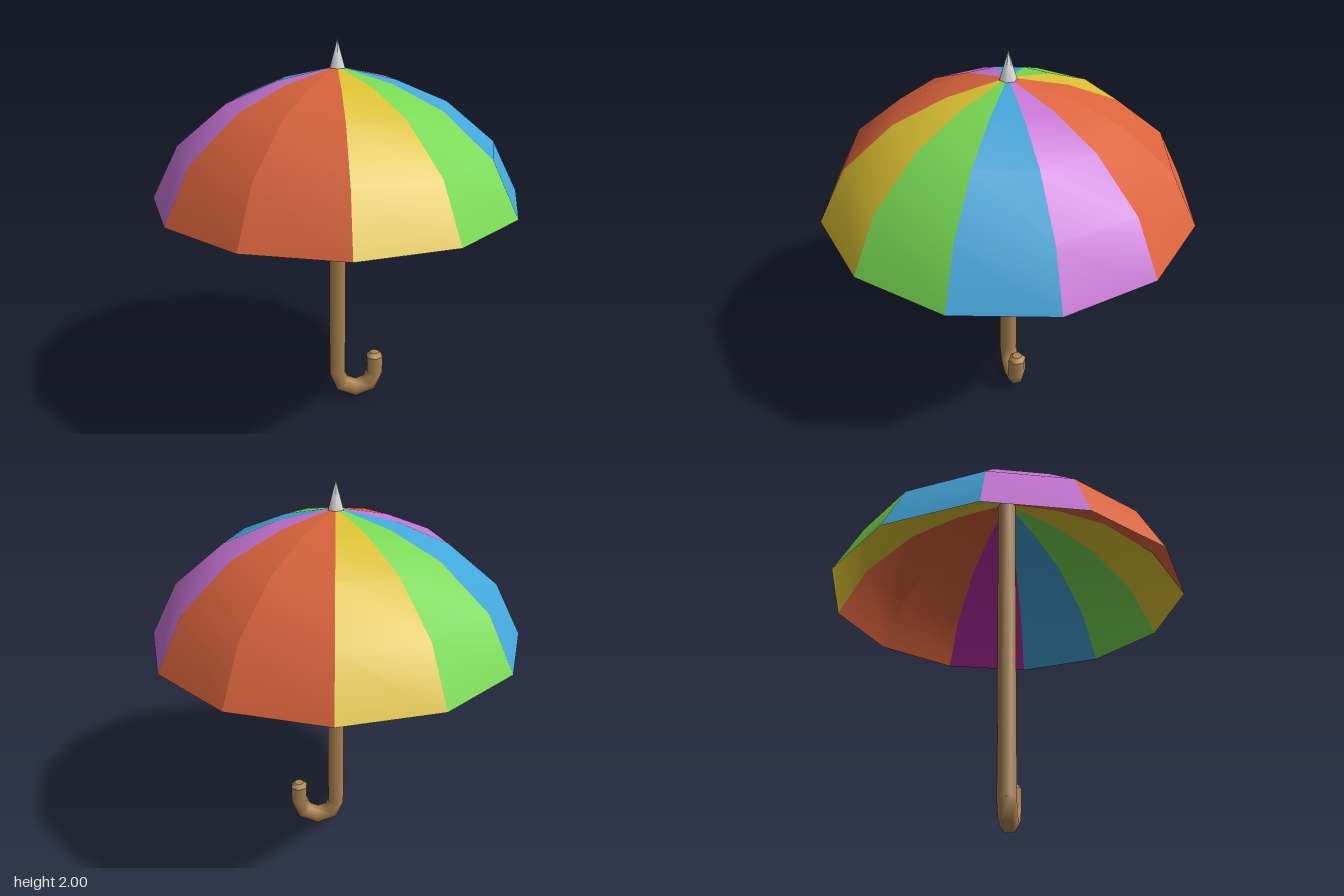
import * as THREE from 'three';

const mat = (name, color) => {
  const m = new THREE.MeshStandardMaterial({ color });
  m.name = name;
  return m;
};

// Half circle for the bend of the handle, starting on the pole axis
class HookCurve extends THREE.Curve {
  getPoint(t, target = new THREE.Vector3()) {
    const a = Math.PI * (1 + t);
    return target.set(0.106 + 0.106 * Math.cos(a), 0.15 + 0.106 * Math.sin(a), 0);
  }
}

export function createModel() {
  const root = new THREE.Group();
  root.name = 'umbrella';

  const yellow = mat('yellow', 0xdec232);
  const green = mat('green', 0x78d852);
  const blue = mat('blue', 0x44a6da);
  const purple = mat('purple', 0xc674d4);
  const orange = mat('orange', 0xdb643c);
  const magenta = mat('magenta lining', 0xbe2ca8);
  const wood = mat('wood', 0xae8550);
  const metal = mat('light metal', 0xdadada);

  const add = (parent, name, geometry, material, x = 0, y = 0, z = 0) => {
    const mesh = new THREE.Mesh(geometry, material);
    mesh.name = name;
    mesh.position.set(x, y, z);
    parent.add(mesh);
    return mesh;
  };

  // Canopy: twelve panels, each with an outer face and a thin lining
  const canopy = new THREE.Group();
  canopy.name = 'canopy';
  root.add(canopy);
  const profile = [[0.95, 1.21], [0.81, 1.48], [0.555, 1.69], [0.295, 1.8], [0.04, 1.86], [0, 1.862]];
  const outer = profile.map(([r, y]) => new THREE.Vector2(r, y));
  const inner = profile.map(([r, y], i) =>
    i === 0 ? new THREE.Vector2(r, y) : new THREE.Vector2(Math.max(0, r - 0.004), y - 0.005)).reverse();
  const step = Math.PI / 6;
  const panel = (points, i) => {
    const g = new THREE.LatheGeometry(points, 1, i * step, step);
    g.computeVertexNormals(); // creased between panels, smooth down each one
    return g;
  };
  const order = [yellow, green, blue, purple, orange, orange];
  for (let i = 0; i < 12; i++) {
    const m = order[i % 6];
    add(canopy, 'canopyPanel', panel(outer, i), m);
    add(canopy, 'canopyLining', panel(inner, i), m === purple ? magenta : m);
  }

  // Metal tip
  add(root, 'tip', new THREE.ConeGeometry(0.045, 0.145, 6), metal, 0, 1.9275);

  // Pole and hooked handle, six-sided
  const r = 0.05;
  add(root, 'pole', new THREE.CylinderGeometry(r, r, 1.7, 6, 1, true), wood, 0, 1.0);
  const handle = new THREE.Group();
  handle.name = 'handle';
  root.add(handle);
  add(handle, 'hookBend', new THREE.TubeGeometry(new HookCurve(), 4, r, 6), wood);
  add(handle, 'hookEnd', new THREE.CylinderGeometry(r, r, 0.095, 6, 1, true), wood, 0.212, 0.1975);
  add(handle, 'hookCap', new THREE.CylinderGeometry(0.028, r, 0.025, 6), wood, 0.212, 0.2575);

  return root;
}
